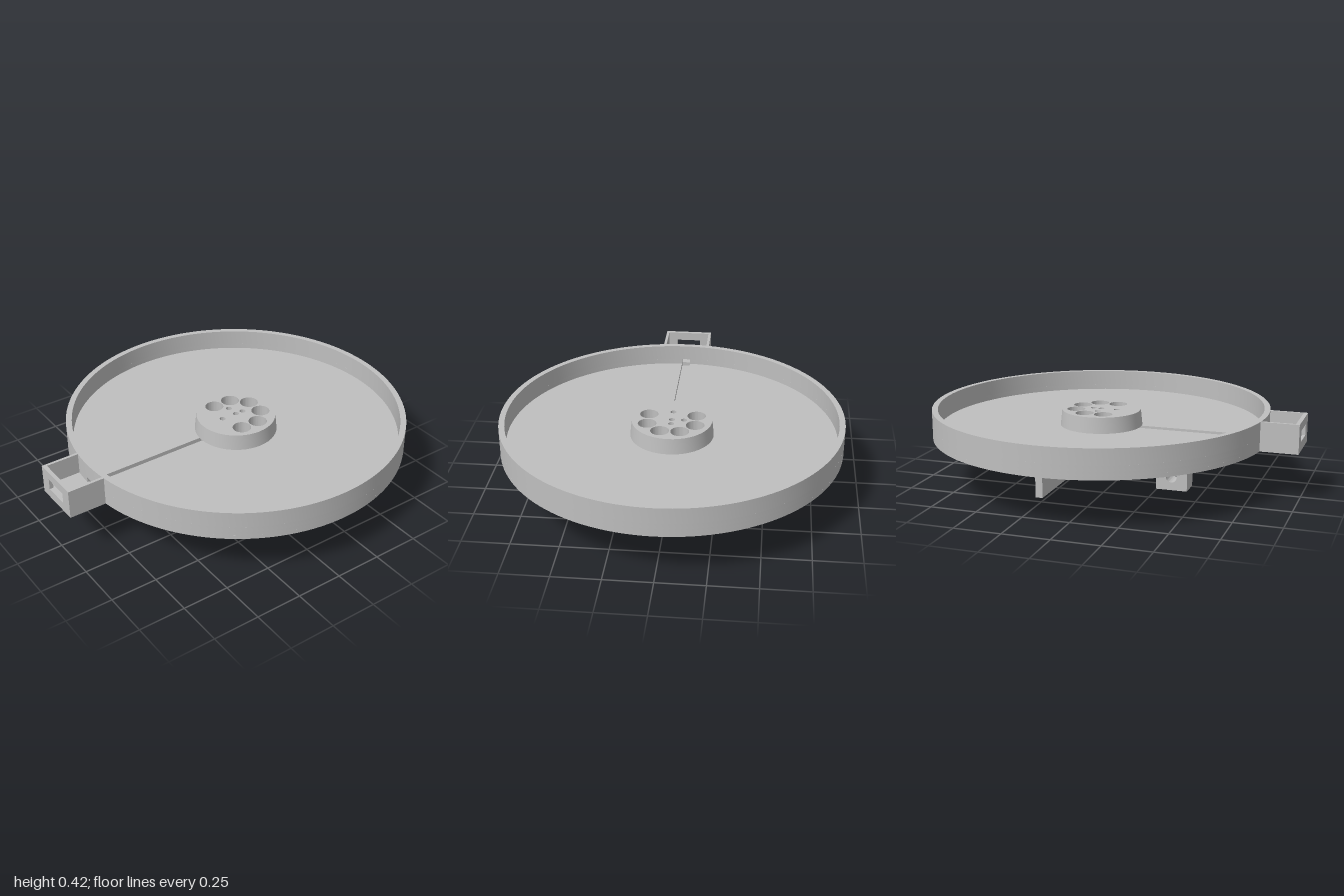
import * as THREE from 'three';
import { toCreasedNormals } from 'three/addons/utils/BufferGeometryUtils.js';

const CZ = -0.095;            // centre of the round tray
const R = 0.907, RI = 0.876;  // tray outer and inner radius
const BASE = 0.265, GROOVE = 0.285, FLOOR = 0.307, SLOT_TOP = 0.336, TOP = 0.42;
const SLOT = 0.024;           // half width of the cable groove

const grey = new THREE.MeshStandardMaterial({ color: 0xbfbfbf });
grey.name = 'grey plastic';

function circle(r, x = 0, y = 0, Type = THREE.Shape) {
  const s = new Type();
  s.absarc(x, y, r, 0, Math.PI * 2, false);
  return s;
}

function rect(x0, x1, y0, y1, Type = THREE.Shape) {
  return new Type([[x0, y0], [x1, y0], [x1, y1], [x0, y1]].map(p => new THREE.Vector2(...p)));
}

const extrude = (shape, depth, curveSegments = 64) =>
  new THREE.ExtrudeGeometry(shape, { depth, bevelEnabled: false, curveSegments });

// Horizontal slab between two heights; the shape is drawn in x and z
const slab = (shape, y0, y1, z = 0, segments = 64) =>
  extrude(shape, y1 - y0, segments).rotateX(Math.PI / 2).translate(0, y1, z);

const box = (x0, x1, y0, y1, z0, z1) =>
  new THREE.BoxGeometry(x1 - x0, y1 - y0, z1 - z0)
    .translate((x0 + x1) / 2, (y0 + y1) / 2, (z0 + z1) / 2);

export function createModel() {
  const model = new THREE.Group();
  const add = (name, geometry) => {
    const mesh = new THREE.Mesh(toCreasedNormals(geometry, 0.5), grey);
    mesh.name = name;
    model.add(mesh);
  };

  // Tray floor: a solid disc under a disc cut by the cable groove
  add('trayBase', slab(circle(R), BASE, GROOVE, CZ));
  const q = Math.PI / 2, a = Math.asin(SLOT / R), ai = Math.asin(SLOT / RI);
  const floor = new THREE.Shape();
  floor.absarc(0, 0, R, q + a, q - a + Math.PI * 2, false);
  floor.lineTo(SLOT, 0.2);
  floor.lineTo(-SLOT, 0.2);
  floor.closePath();
  add('trayFloor', slab(floor, GROOVE, FLOOR, CZ));

  // Rim, with a small cable opening at the front
  const lowerRim = new THREE.Shape();
  lowerRim.absarc(0, 0, R, q + a, q - a + Math.PI * 2, false);
  lowerRim.absarc(0, 0, RI, q - ai + Math.PI * 2, q + ai, true);
  lowerRim.closePath();
  add('lowerRim', slab(lowerRim, FLOOR, SLOT_TOP, CZ));
  const rim = circle(R);
  rim.holes.push(circle(RI, 0, 0, THREE.Path));
  add('upperRim', slab(rim, SLOT_TOP, TOP, CZ));

  // Tapered hub with six large and four small wells
  const hub = circle(0.222);
  for (let i = 0; i < 8; i++) {
    if (i === 1 || i === 2) continue;
    const t = (i + 0.5) * Math.PI / 4;
    hub.holes.push(circle(0.049, 0.137 * Math.cos(t), 0.137 * Math.sin(t), THREE.Path));
  }
  for (const [x, z] of [[0, 0], [0, -0.045], [-0.064, 0], [0, 0.087]])
    hub.holes.push(circle(0.016, x, z, THREE.Path));
  const hubGeometry = slab(hub, FLOOR, 0.392, 0, 24);
  const p = hubGeometry.attributes.position;
  for (let i = 0; i < p.count; i++) {
    const x = p.getX(i), z = p.getZ(i);
    if (p.getY(i) > 0.35 && Math.hypot(x, z) > 0.21) p.setXYZ(i, x * 0.96, p.getY(i), z * 0.96);
  }
  add('hub', hubGeometry.translate(0, 0, CZ));

  // Open connector box at the front, with a window in its front wall
  add('connectorBase', box(-0.135, 0.135, BASE, FLOOR, 0.8, 1));
  for (const s of [-1, 1])
    add(s > 0 ? 'connectorLeftWall' : 'connectorRightWall',
      box(s * 0.1275 - 0.0075, s * 0.1275 + 0.0075, FLOOR, TOP, 0.785, 0.98));
  const front = rect(-0.135, 0.135, FLOOR, TOP);
  front.holes.push(rect(-0.07, 0.07, 0.316, 0.374, THREE.Path));
  add('connectorFrontWall', extrude(front, 0.021).translate(0, 0, 0.979));

  // Mounting bracket below the tray
  add('bracketPlate', box(-0.44, 0.44, 0.225, BASE, -0.307, 0.385));
  add('bracketBackWall', box(-0.44, 0.44, 0, 0.225, -0.307, -0.268));

  // Pair of drilled lugs
  const lug = rect(0.333, 0.493, 0.1, BASE);
  lug.holes.push(circle(0.028, 0.412, 0.168, THREE.Path));
  for (const s of [-1, 1])
    add(s > 0 ? 'leftLug' : 'rightLug',
      extrude(lug, 0.108, 16).rotateY(-Math.PI / 2).translate(s * 0.346 + 0.054, 0, 0));

  return model;
}
